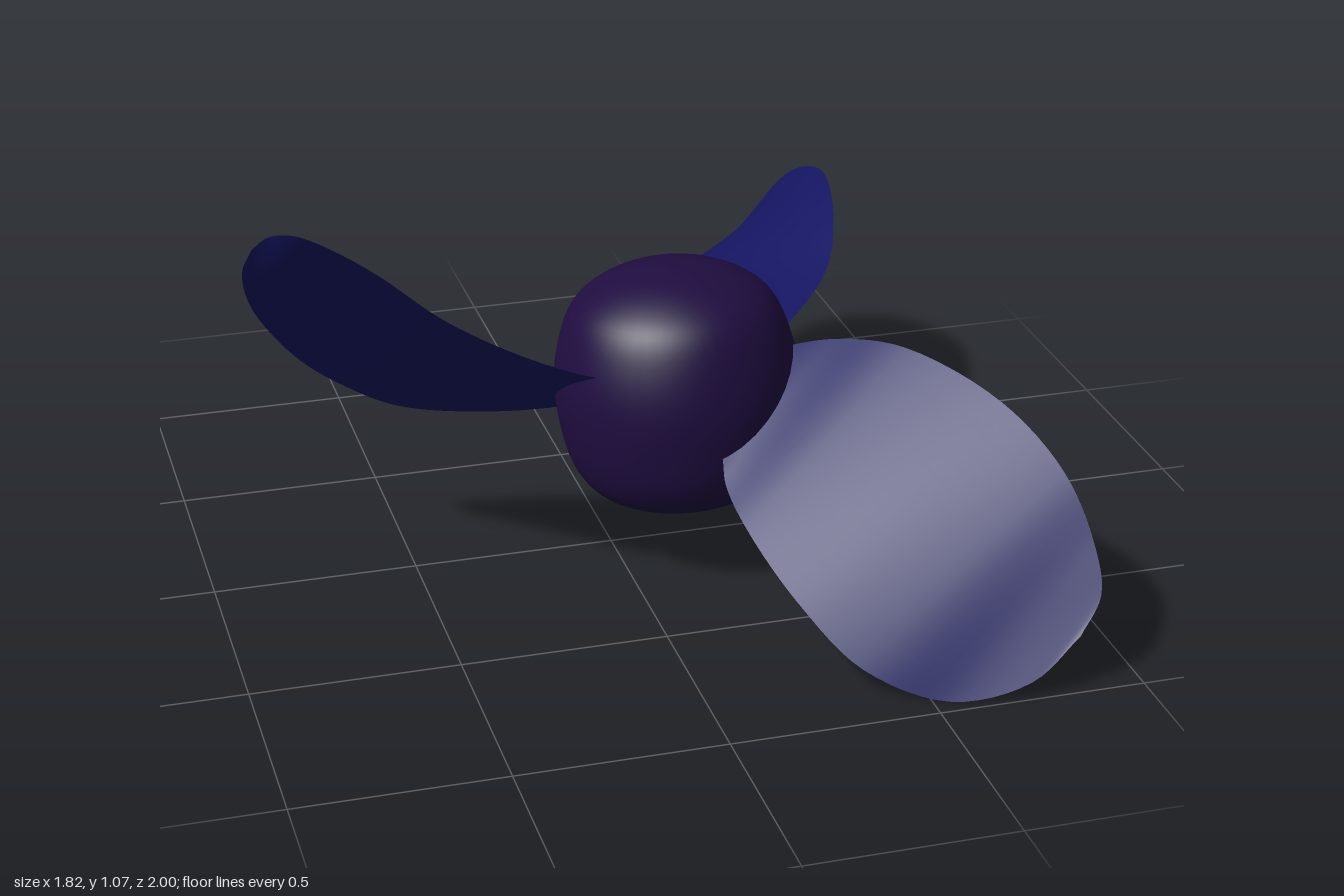
import * as THREE from 'three';

const hubCentre = new THREE.Vector3(0.145, 0.465, 0.072);
const bladeMaterial = new THREE.MeshStandardMaterial({ color: 0x151562, side: THREE.DoubleSide });
const hubMaterial = new THREE.MeshStandardMaterial({ color: 0x1f0d40 });

// Smooth edge from a root inside the hub, through the given points, to the tip
function edgeCurve(points) {
  const pts = points.map((p) => new THREE.Vector3(...p));
  const root = pts[0].clone().lerp(hubCentre, 0.35);
  return new THREE.CatmullRomCurve3([root, ...pts]);
}

// Twisted blade: a skin of chords between its two edges, which meet at the tip
function makeBlade(name, leftEdge, rightEdge, tip) {
  const left = edgeCurve([...leftEdge, tip]);
  const right = edgeCurve([...rightEdge, tip]);
  const spans = 48, chords = 14;
  const positions = [], index = [];
  for (let i = 0; i <= spans; i++) {
    const a = left.getPoint(i / spans), b = right.getPoint(i / spans);
    for (let j = 0; j <= chords; j++) {
      const p = a.clone().lerp(b, j / chords);
      positions.push(p.x, p.y, p.z);
      if (i < spans && j < chords) {
        const k = i * (chords + 1) + j, n = k + chords + 1;
        index.push(k, k + 1, n, k + 1, n + 1, n);
      }
    }
  }
  const geometry = new THREE.BufferGeometry();
  geometry.setAttribute('position', new THREE.Float32BufferAttribute(positions, 3));
  geometry.setIndex(index);
  geometry.computeVertexNormals();
  const mesh = new THREE.Mesh(geometry, bladeMaterial);
  mesh.name = name;
  return mesh;
}

export function createModel() {
  const model = new THREE.Group();
  model.name = 'propeller';

  // Rounded hub, leaning slightly
  const profile = new THREE.SplineCurve([
    [0, -0.292], [0.13, -0.286], [0.215, -0.262], [0.268, -0.19], [0.293, -0.08], [0.298, 0.02],
    [0.28, 0.12], [0.245, 0.2], [0.185, 0.25], [0.1, 0.283], [0, 0.294],
  ].map(([r, y]) => new THREE.Vector2(r, y))).getPoints(50);
  profile.forEach((p) => { p.x = Math.max(p.x, 0); });
  const hub = new THREE.Mesh(new THREE.LatheGeometry(profile, 48), hubMaterial);
  hub.name = 'hub';
  hub.position.copy(hubCentre);
  hub.rotation.set(-0.05, 0, 0.05);
  model.add(hub);

  // Blade edges run from the hub outwards
  model.add(makeBlade('rightBlade',
    [[-0.11, 0.57, 0.23], [-0.3, 0.68, 0.3], [-0.5, 0.83, 0.38], [-0.65, 0.97, 0.42],
      [-0.75, 1.045, 0.43], [-0.82, 1.07, 0.39], [-0.87, 1.04, 0.3]],
    [[-0.11, 0.345, -0.09], [-0.3, 0.325, -0.155], [-0.5, 0.36, -0.17], [-0.65, 0.45, -0.15],
      [-0.75, 0.54, -0.12], [-0.87, 0.73, 0], [-0.91, 0.88, 0.12]],
    [-0.9, 0.98, 0.22]));
  model.add(makeBlade('backBlade',
    [[0.18, 0.51, -0.21], [0.22, 0.465, -0.4], [0.28, 0.43, -0.56], [0.37, 0.39, -0.73],
      [0.5, 0.355, -0.89], [0.6, 0.355, -0.975], [0.65, 0.385, -1]],
    [[0.42, 0.495, -0.03], [0.5, 0.525, -0.08], [0.63, 0.58, -0.22], [0.72, 0.65, -0.44],
      [0.76, 0.67, -0.65], [0.75, 0.61, -0.83], [0.73, 0.52, -0.95]],
    [0.69, 0.43, -1]));
  model.add(makeBlade('frontBlade',
    [[0.41, 0.57, 0.18], [0.5, 0.6, 0.24], [0.62, 0.62, 0.37], [0.78, 0.56, 0.6],
      [0.87, 0.45, 0.77], [0.905, 0.32, 0.88], [0.9, 0.22, 0.95]],
    [[0.175, 0.39, 0.35], [0.165, 0.34, 0.42], [0.18, 0.28, 0.55], [0.25, 0.17, 0.73],
      [0.36, 0.06, 0.87], [0.54, 0, 0.96], [0.72, 0.045, 1]],
    [0.84, 0.14, 0.985]));
  return model;
}
